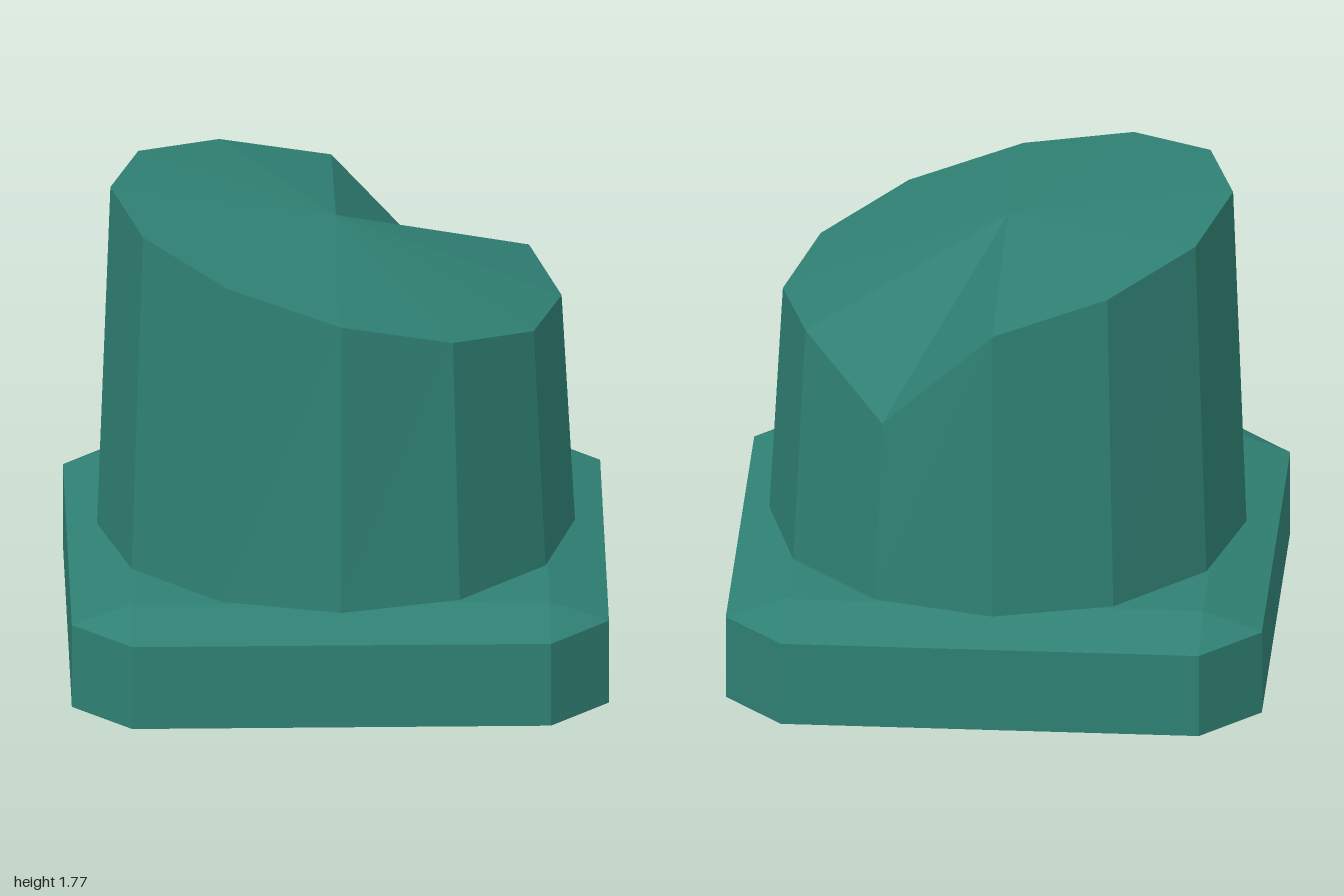
import * as THREE from 'three';

export function createModel() {
  const model = new THREE.Group();
  const teal = new THREE.MeshStandardMaterial({ color: 0x2f8073, flatShading: true, side: THREE.DoubleSide });
  teal.name = 'teal';

  const addPart = (name, geometry) => {
    const mesh = new THREE.Mesh(geometry, teal);
    mesh.name = name;
    model.add(mesh);
  };

  // Hollow base: cut-corner walls, a bevel rising to a square top, open underneath
  const c = 0.78, rim = 0.33, deck = 0.41;
  const outline = [[c, 1], [1, c], [1, -c], [c, -1], [-c, -1], [-1, -c], [-1, c], [-c, 1]];
  const square = [[c, c], [c, c], [c, -c], [c, -c], [-c, -c], [-c, -c], [-c, c], [-c, c]];
  const rings = [[outline, 0], [outline, rim], [square, deck], [[...Array(8)].map(() => [0, 0]), deck]]
    .map(([ring, y]) => ring.map(([x, z]) => [x, y, z]));
  const points = [];
  const addTriangle = (p, q, r) => {
    const [a, b, d] = [p, q, r].map((v) => new THREE.Vector3(...v));
    if (b.sub(a).cross(d.sub(a)).length() > 1e-6) points.push(...p, ...q, ...r);
  };
  for (let k = 0; k < rings.length - 1; k++) {
    for (let i = 0; i < 8; i++) {
      const j = (i + 1) % 8, low = rings[k], high = rings[k + 1];
      addTriangle(low[i], low[j], high[j]);
      addTriangle(low[i], high[j], high[i]);
    }
  }
  const base = new THREE.BufferGeometry();
  base.setAttribute('position', new THREE.Float32BufferAttribute(points, 3));
  base.computeVertexNormals();
  addPart('base', base);

  // Tapered twelve-sided stump: slanted top, raised middle, one broken-down rim corner
  const bottom = 0.415;
  const stump = new THREE.CylinderGeometry(0.84, 0.89, 1, 12).toNonIndexed();
  const pos = stump.attributes.position;
  for (let i = 0; i < pos.count; i++) {
    const x = pos.getX(i), z = pos.getZ(i);
    let y = bottom;
    if (pos.getY(i) > 0) {
      const notch = Math.hypot(x - 0.42, z + 0.727) < 0.05;
      const middle = Math.hypot(x, z) < 0.01;
      y = middle ? 1.65 : notch ? 1.12 : 1.545 - 0.268 * x;
    }
    pos.setY(i, y);
  }
  stump.computeVertexNormals();
  addPart('stump', stump);

  return model;
}
